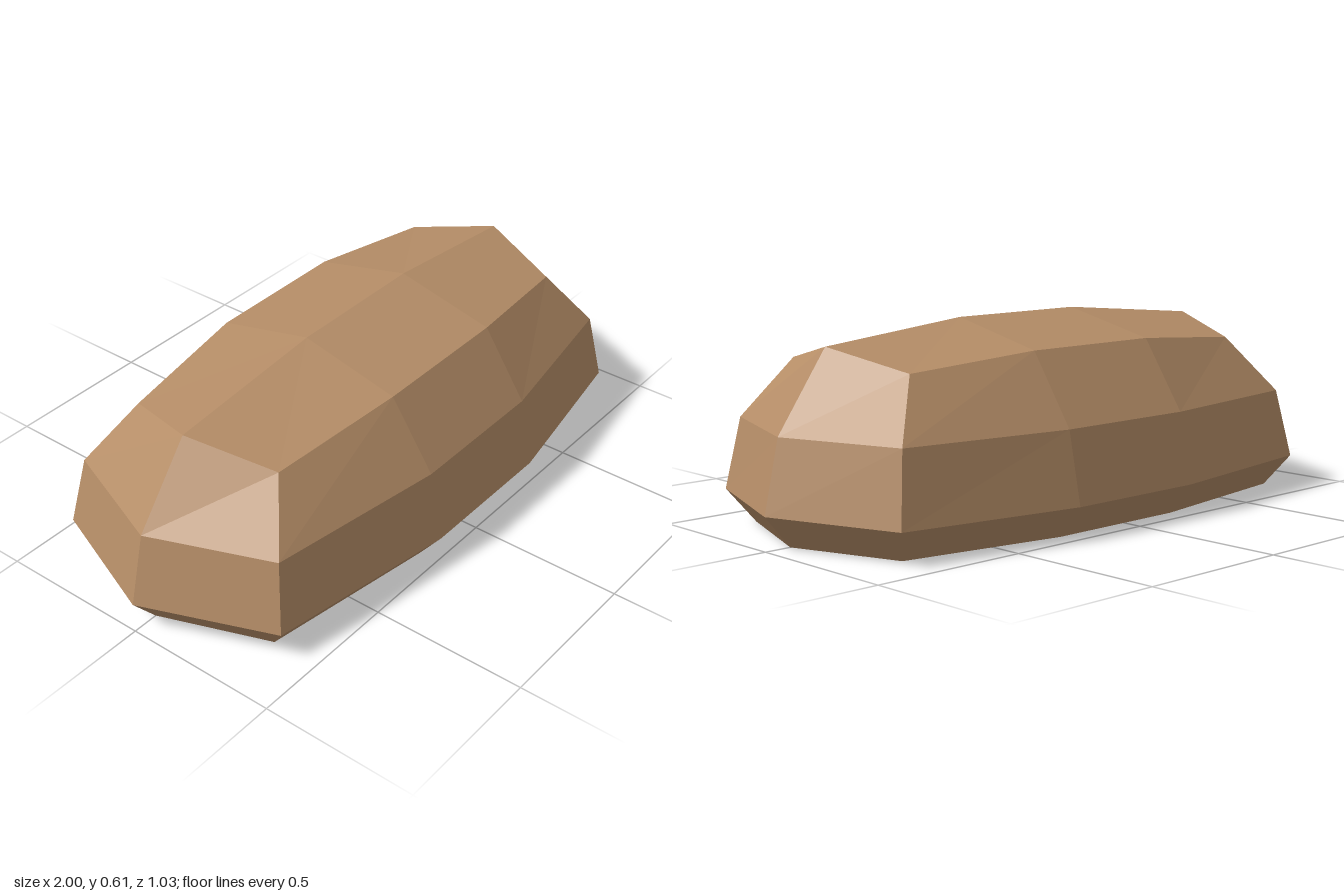
import * as THREE from 'three';

// Horizontal sections from the base to the shoulder
const LEVELS = [
  { yTip: 0, yCorner: 0, yMid: 0, tip: [-0.915, 0.915], corner: [-0.785, 0.79], zCorner: 0.345, zMid: 0.435 },
  { yTip: 0.1, yCorner: 0.1, yMid: 0.1, tip: [-1, 1], corner: [-0.835, 0.85], zCorner: 0.415, zMid: 0.515 },
  { yTip: 0.32, yCorner: 0.32, yMid: 0.32, tip: [-0.945, 0.95], corner: [-0.795, 0.815], zCorner: 0.38, zMid: 0.47 },
  { yTip: 0.56, yCorner: 0.5, yMid: 0.535, tip: [-0.755, 0.78], corner: [-0.66, 0.695], zCorner: 0.27, zMid: 0.325 },
];
const MID = [-0.21, 0.27];

// Ten-sided ring, counter-clockwise from above, starting at the +x tip
function ring({ yTip, yCorner, yMid, tip, corner, zCorner, zMid }) {
  return [
    [tip[1], yTip, 0],
    [corner[1], yCorner, -zCorner], [MID[1], yMid, -zMid], [MID[0], yMid, -zMid], [corner[0], yCorner, -zCorner],
    [tip[0], yTip, 0],
    [corner[0], yCorner, zCorner], [MID[0], yMid, zMid], [MID[1], yMid, zMid], [corner[1], yCorner, zCorner],
  ];
}

function loafGeometry() {
  const positions = [];
  const face = (...p) => {
    for (let i = 1; i < p.length - 1; i++) positions.push(...p[0], ...p[i], ...p[i + 1]);
  };
  const rings = LEVELS.map(ring);

  // Flat underside
  face(...rings[0].slice().reverse());

  // Side bands
  for (let l = 0; l < rings.length - 1; l++) {
    const a = rings[l], b = rings[l + 1];
    for (let i = 0; i < a.length; i++) {
      const j = (i + 1) % a.length;
      face(a[i], a[j], b[j], b[i]);
    }
  }

  // Sloped top meeting at a central ridge
  const top = [...rings[3], [MID[1], 0.61, 0], [MID[0], 0.61, 0]];
  const topFaces = [[10, 0, 1, 2], [10, 2, 3, 11], [11, 3, 4, 5], [11, 5, 6, 7], [11, 7, 8, 10], [10, 8, 9, 0]];
  for (const f of topFaces) face(...f.map((i) => top[i]));

  const geometry = new THREE.BufferGeometry();
  geometry.setAttribute('position', new THREE.Float32BufferAttribute(positions, 3));
  geometry.computeVertexNormals(); // unshared vertices give flat facets
  return geometry;
}

export function createModel() {
  const group = new THREE.Group();
  group.name = 'facetedLoaf';
  const crust = new THREE.MeshStandardMaterial({ color: 0xb58d67 });
  crust.name = 'crustBrown';
  const loaf = new THREE.Mesh(loafGeometry(), crust);
  loaf.name = 'loaf';
  group.add(loaf);
  return group;
}
